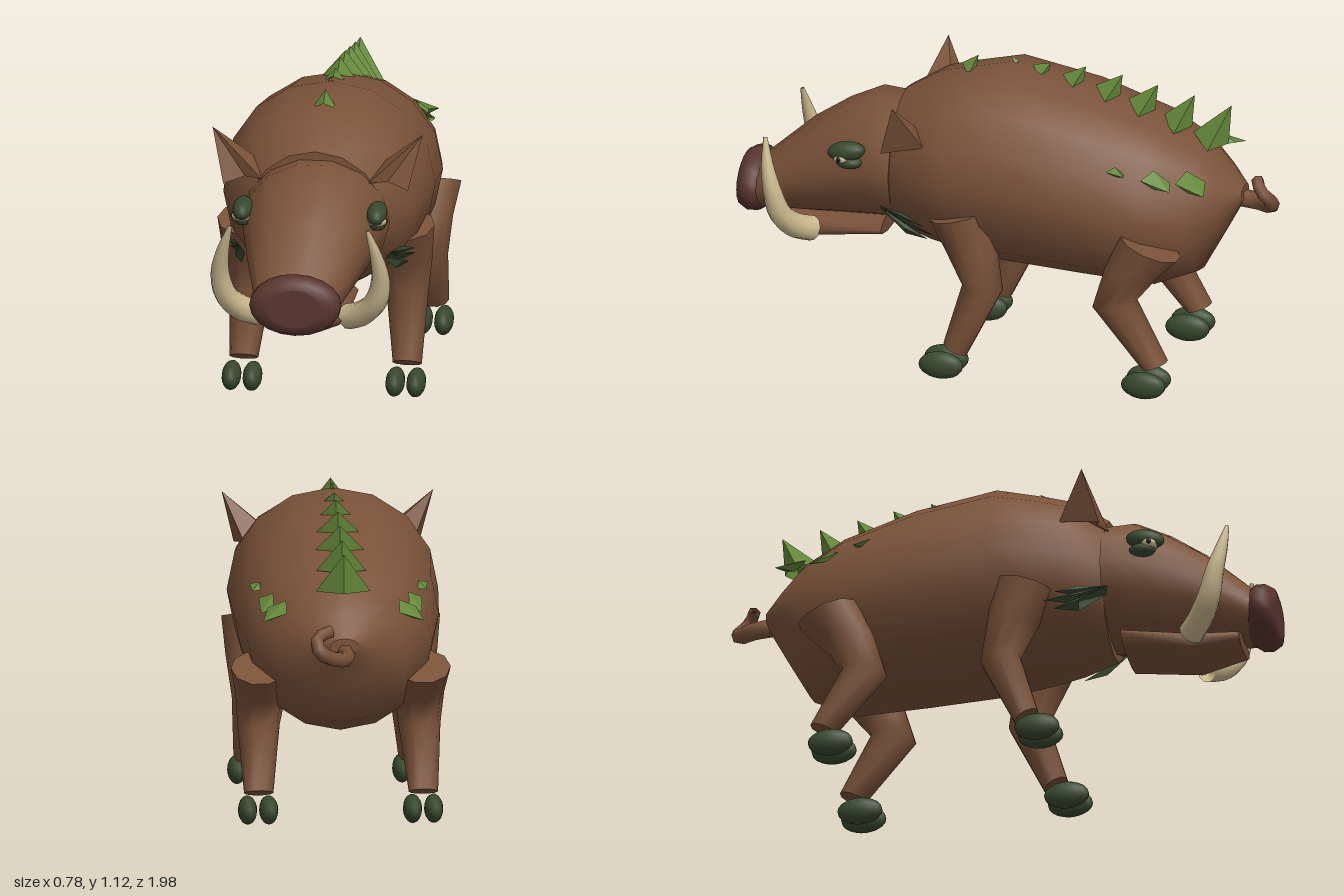
import * as THREE from 'three';

const mat = (name, color, side = THREE.FrontSide) => {
  const m = new THREE.MeshStandardMaterial({ color, side });
  m.name = name;
  return m;
};

// Capped loft. Ring: [centre x, half width, y0, z0, y1, z1], the last four being
// the two ends of the ring's diameter in the side plane.
function loft(rings, sides) {
  const pos = [], idx = [], n = rings.length;
  const point = ([x, rx, y0, z0, y1, z1], k) => {
    const a = (k / sides) * Math.PI * 2, c = Math.cos(a), s = (Math.sin(a) + 1) / 2;
    return [x + rx * c, y0 + (y1 - y0) * s, z0 + (z1 - z0) * s];
  };
  rings.forEach(r => { for (let k = 0; k < sides; k++) pos.push(...point(r, k)); });
  for (let i = 0; i < n - 1; i++) {
    for (let k = 0; k < sides; k++) {
      const a = i * sides + k, b = i * sides + (k + 1) % sides;
      idx.push(a, a + sides, b, b, a + sides, b + sides);
    }
  }
  for (const end of [0, n - 1]) {
    const r = rings[end], base = pos.length / 3;
    pos.push(r[0], (r[2] + r[4]) / 2, (r[3] + r[5]) / 2);
    for (let k = 0; k < sides; k++) pos.push(...point(r, k));
    for (let k = 0; k < sides; k++) {
      const a = base + 1 + k, b = base + 1 + (k + 1) % sides;
      idx.push(base, ...(end ? [b, a] : [a, b]));
    }
  }
  const g = new THREE.BufferGeometry();
  g.setAttribute('position', new THREE.Float32BufferAttribute(pos, 3));
  g.setIndex(idx);
  g.computeVertexNormals();
  return g;
}

// Tube along points with a radius that depends on t; both ends close to a point
function taperTube(points, radius, segs, sides) {
  const curve = new THREE.CatmullRomCurve3(points.map(p => new THREE.Vector3(...p)));
  const g = new THREE.TubeGeometry(curve, segs, 1, sides);
  const p = g.attributes.position, v = new THREE.Vector3();
  for (let i = 0; i <= segs; i++) {
    const c = curve.getPointAt(i / segs);
    const r = i === 0 || i === segs ? 0 : radius((i - 1) / (segs - 1));
    // the second and second-last rings sit at the ends, so the caps are flat
    const at = curve.getPointAt(THREE.MathUtils.clamp((i - 1) / (segs - 2), 0, 1));
    for (let k = 0; k <= sides; k++) {
      const j = i * (sides + 1) + k;
      v.fromBufferAttribute(p, j).sub(c).multiplyScalar(r).add(at);
      p.setXYZ(j, v.x, v.y, v.z);
    }
  }
  return g;
}

// Flat-sided spike from a loop of base points to a tip
function spike(base, tip) {
  const pos = [];
  base.forEach((b, i) => pos.push(...b, ...base[(i + 1) % base.length], ...tip));
  const g = new THREE.BufferGeometry();
  g.setAttribute('position', new THREE.Float32BufferAttribute(pos, 3));
  g.computeVertexNormals();
  return g;
}

export function createModel() {
  const root = new THREE.Group();
  root.name = 'boar';
  const hide = mat('brown hide', 0x7a5239, THREE.DoubleSide);
  const snoutMat = mat('dark red snout', 0x5a3630);
  const ivory = mat('ivory', 0xcdbb91);
  const leaf = mat('leaf green', 0x64873a, THREE.DoubleSide);
  const moss = mat('dark green', 0x38492f, THREE.DoubleSide);
  const black = mat('pupil black', 0x1c1a18);

  const add = (name, geo, material, parent = root) => {
    const m = new THREE.Mesh(geo, material);
    m.name = name;
    parent.add(m);
    return m;
  };
  const ball = (name, material, p, s, parent) => {
    const m = add(name, new THREE.SphereGeometry(1, 14, 10), material, parent);
    m.position.set(...p);
    m.scale.set(...s);
    return m;
  };
  // upright ring for body and head: z, half width, bottom, top
  const upright = ([z, w, y0, y1]) => [0, w, y0, z, y1, z];

  // Body
  add('body', loft([
    [0.405, 0.25, 0.46, 0.965], [0.28, 0.33, 0.425, 1.04], [0.18, 0.36, 0.405, 1.065],
    [0.01, 0.375, 0.375, 1.105], [-0.28, 0.363, 0.355, 1.05], [-0.54, 0.325, 0.338, 0.965],
    [-0.69, 0.235, 0.395, 0.885], [-0.77, 0.15, 0.54, 0.8], [-0.84, 0.05, 0.67, 0.725],
  ].map(upright), 16), hide);

  // Head, jaw and snout
  add('head', loft([
    [0.92, 0.15, 0.475, 0.66], [0.75, 0.195, 0.475, 0.81], [0.62, 0.225, 0.48, 0.895],
    [0.5, 0.25, 0.485, 0.95], [0.4, 0.265, 0.49, 0.938],
  ].map(upright), 14), hide);
  add('jaw', loft([
    [0, 0.11, 0.44, 0.87, 0.49, 0.875], [0, 0.15, 0.4, 0.7, 0.49, 0.71],
    [0, 0.16, 0.43, 0.46, 0.52, 0.45],
  ], 10), hide);
  add('snout', loft([
    [1.0, 0.1, 0.495, 0.635], [0.992, 0.14, 0.47, 0.66], [0.965, 0.163, 0.456, 0.675],
    [0.93, 0.163, 0.457, 0.674], [0.9, 0.13, 0.475, 0.655],
  ].map(upright), 20), snoutMat);

  // Back spikes: z of front corner, z of tip, base height, tip height, half width
  [[0.2, 0.14, 1.05, 1.115, 0.045], [0.02, -0.01, 1.095, 1.11, 0.012],
    [-0.06, -0.125, 1.07, 1.112, 0.042], [-0.17, -0.255, 1.045, 1.112, 0.06],
    [-0.29, -0.39, 1.015, 1.095, 0.075], [-0.41, -0.52, 0.975, 1.07, 0.085],
    [-0.535, -0.655, 0.925, 1.045, 0.088], [-0.65, -0.79, 0.875, 1.02, 0.097],
  ].forEach(([zf, zt, yb, yt, w]) => {
    const zm = zf + (zt - zf) * 0.55;
    add('backSpike', spike([[w, yb, zm], [0, yb + 0.03, zf], [-w, yb, zm], [0, yb, zt + 0.01]], [0, yt, zt]), leaf);
  });

  // Curled tail
  add('tail', taperTube([[0, 0.68, -0.79], [0, 0.665, -0.9], [0.05, 0.675, -0.945],
    [0.095, 0.705, -0.965], [0.1, 0.745, -0.925], [0.05, 0.765, -0.9]],
  t => 0.034 - 0.012 * t, 12, 6), hide);

  for (const s of [1, -1]) {
    const side = new THREE.Group();
    side.name = s > 0 ? 'leftParts' : 'rightParts';
    root.add(side);
    const X = p => [p[0] * s, p[1], p[2]];
    const ringX = r => [r[0] * s, ...r.slice(1)];

    // Legs
    add('frontLeg', loft([
      [0.285, 0.103, 0.595, 0.236, 0.65, 0.025], [0.275, 0.1, 0.48, 0.18, 0.5, 0],
      [0.28, 0.075, 0.358, 0.12, 0.335, -0.025], [0.292, 0.052, 0.134, 0.185, 0.09, 0.1],
    ].map(ringX), 10), hide, side);
    add('hindLeg', loft([
      [0.29, 0.1, 0.612, -0.465, 0.53, -0.68], [0.28, 0.09, 0.48, -0.405, 0.45, -0.6],
      [0.285, 0.075, 0.325, -0.36, 0.355, -0.52], [0.292, 0.052, 0.105, -0.545, 0.14, -0.635],
    ].map(ringX), 10), hide, side);

    // Cloven hooves
    for (const z of [0.187, -0.557]) {
      for (const x of [0.255, 0.33]) ball('hoof', moss, X([x, 0.055, z]), [0.034, 0.05, 0.082], side);
    }

    // Ear: folded outer shell
    add('ear', spike([[0.19, 0.86, 0.42], [0.255, 0.86, 0.39], [0.33, 0.835, 0.41],
      [0.3, 0.86, 0.26], [0.22, 0.9, 0.3]].map(X), X([0.375, 1.027, 0.355])), hide, side);

    // Tusk
    add('tusk', taperTube([[0.155, 0.455, 0.71], [0.215, 0.485, 0.755], [0.268, 0.545, 0.795],
      [0.287, 0.63, 0.818], [0.275, 0.72, 0.84], [0.245, 0.82, 0.856]].map(X),
    t => 0.046 * (1 - t * t * 0.97), 16, 10), ivory, side);

    // Eye with heavy lid
    const lid = ball('eyelid', moss, X([0.24, 0.795, 0.56]), [0.036, 0.036, 0.07], side);
    lid.rotation.x = 0.15;
    ball('lowerLid', moss, X([0.24, 0.755, 0.55]), [0.033, 0.024, 0.048], side);
    ball('eyeball', ivory, X([0.243, 0.773, 0.575]), [0.036, 0.022, 0.032], side);
    ball('pupil', black, X([0.268, 0.773, 0.578]), [0.013, 0.012, 0.012], side);

    // Nostril
    ball('nostril', snoutMat, X([0.073, 0.58, 0.982]), [0.028, 0.022, 0.018], side);

    // Flank spikes
    [[[0.2, 0.8, -0.75], [0.2, 0.835, -0.68], [0.262, 0.805, -0.655], [0.25, 0.77, -0.7], [0.285, 0.775, -0.765]],
      [[0.24, 0.8, -0.63], [0.24, 0.84, -0.57], [0.29, 0.815, -0.535], [0.28, 0.785, -0.58], [0.285, 0.78, -0.64]],
      [[0.28, 0.83, -0.47], [0.28, 0.855, -0.44], [0.315, 0.845, -0.415], [0.3, 0.825, -0.45], [0.31, 0.83, -0.48]],
    ].forEach(q => add('flankSpike', spike(q.slice(0, 4).map(X), X(q[4])), leaf, side));

    // Leaf tuft in front of the shoulder
    [[0.575, 0.335, 0.25], [0.545, 0.332, 0.21], [0.52, 0.31, 0.24]].forEach(([y, x, z]) =>
      add('shoulderLeaf', spike([[0.25, 0.585, 0.42], [0.27, 0.612, 0.43], [0.3, y + 0.03, 0.33],
        [0.275, y, 0.33]].map(X), X([x, y, z])), moss, side));
  }
  return root;
}
